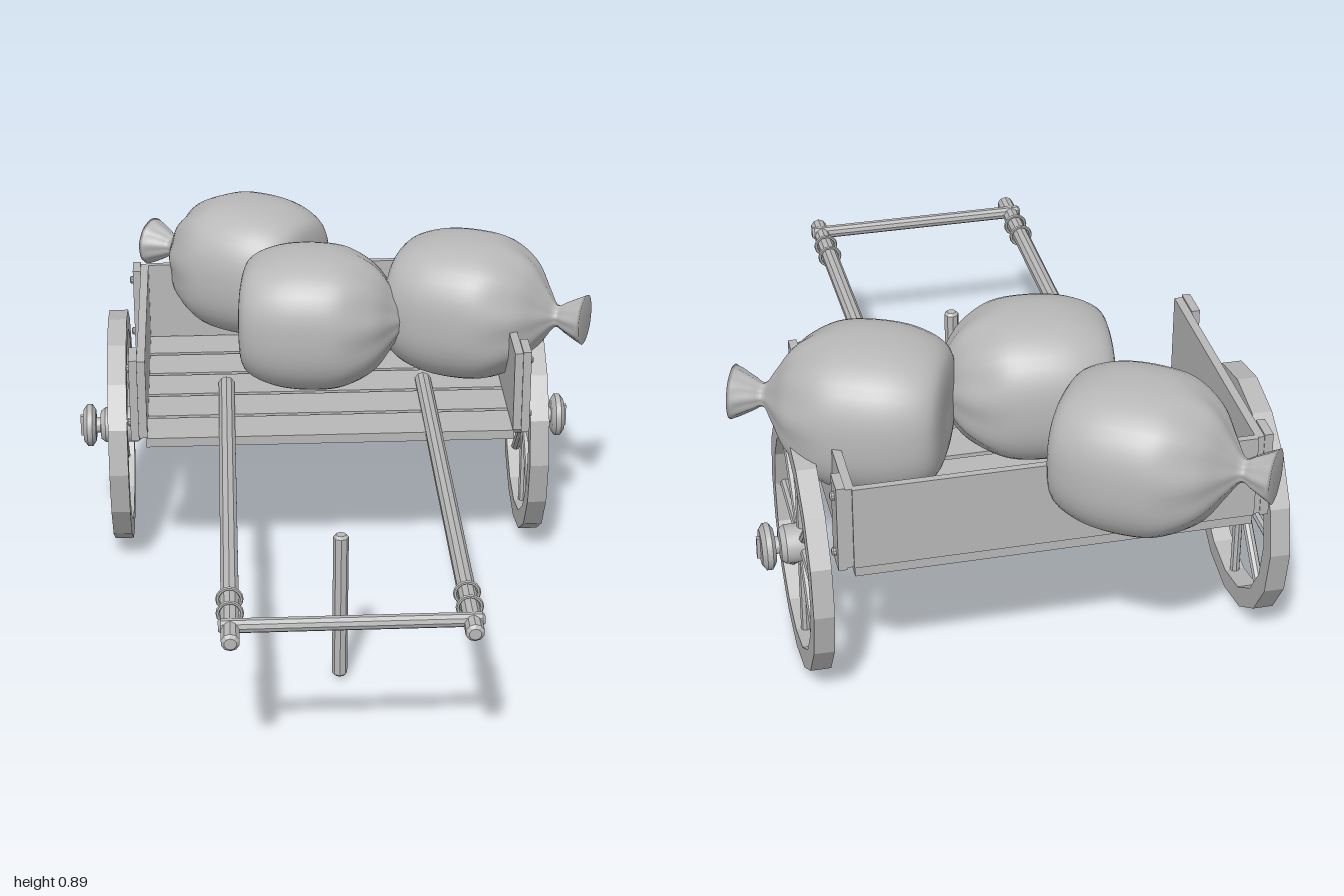
import * as THREE from 'three';
import { mergeVertices, toCreasedNormals } from 'three/addons/utils/BufferGeometryUtils.js';

const grey = new THREE.MeshStandardMaterial({ color: 0xb8b8b8 });
grey.name = 'plain grey';

const v2 = (pairs) => pairs.map(([x, y]) => new THREE.Vector2(x, y));

// Adds a named mesh, keeping hard edges sharp
function add(parent, name, geometry, x = 0, y = 0, z = 0) {
  const mesh = new THREE.Mesh(toCreasedNormals(geometry, 0.3), grey);
  mesh.name = name;
  mesh.position.set(x, y, z);
  parent.add(mesh);
  return mesh;
}

// Round bar between two points
function rod(parent, name, a, b, r, sides = 8) {
  const from = new THREE.Vector3(...a), to = new THREE.Vector3(...b);
  const dir = to.clone().sub(from), len = dir.length(), c = r * 0.35;
  const profile = v2([[0, 0], [r * 0.65, 0], [r, c], [r, len - c], [r * 0.65, len], [0, len]]);
  const mesh = add(parent, name, new THREE.LatheGeometry(profile, sides), ...a);
  mesh.quaternion.setFromUnitVectors(new THREE.Vector3(0, 1, 0), dir.normalize());
}

// Wheel with its axis along +x pointing outward
function makeWheel() {
  const wheel = new THREE.Group();
  const turn = (name, pairs, sides) =>
    add(wheel, name, new THREE.LatheGeometry(v2(pairs), sides).rotateZ(-Math.PI / 2));
  const w = 0.026;
  turn('rim', [[0.272, -w], [0.325, -w], [0.325, w], [0.272, w], [0.272, -w]], 16);
  turn('hub', [[0, -0.058], [0.04, -0.058], [0.05, -0.045], [0.05, 0.045], [0.04, 0.058], [0.022, 0.06], [0.022, 0.075]], 24);
  turn('hubCap', [[0, 0.07], [0.045, 0.072], [0.06, 0.082], [0.06, 0.096], [0.045, 0.107], [0, 0.107]], 24);
  add(wheel, 'linchpin', new THREE.BoxGeometry(0.012, 0.06, 0.012), 0.11, 0, 0);
  for (let i = 0; i < 8; i++) {
    const a = (i * Math.PI) / 4, c = Math.cos(a), s = Math.sin(a);
    rod(wheel, 'spoke', [0, 0.03 * c, 0.03 * s], [0, 0.285 * c, 0.285 * s], 0.013, 8);
  }
  return wheel;
}

// Tied sack lying on its side, neck along +x
function makeSack() {
  const outline = new THREE.SplineCurve(v2([[0, -0.2], [0.1, -0.203], [0.16, -0.18], [0.195, -0.1],
    [0.203, 0], [0.19, 0.09], [0.14, 0.17], [0.07, 0.22], [0.03, 0.25], [0.042, 0.28], [0.068, 0.33]]));
  const profile = [...outline.getPoints(44), new THREE.Vector2(0, 0.325)];
  profile[0].x = 0;
  let geo = new THREE.LatheGeometry(profile, 48).rotateZ(-Math.PI / 2);
  const p = geo.attributes.position;
  for (let i = 0; i < p.count; i++) {
    const x = p.getX(i), y = p.getY(i), z = p.getZ(i);
    const a = Math.atan2(z, y), c = Math.abs(Math.cos(a)), s = Math.abs(Math.sin(a));
    // Boxy belly, pleats gathering at the neck
    const belly = THREE.MathUtils.smoothstep(0.22 - x, 0, 0.15);
    const boxy = 1 / Math.pow(c ** 2.5 + s ** 2.5, 0.4);
    const pleat = THREE.MathUtils.smoothstep(x, 0.04, 0.22) * (x < 0.31 ? 0.04 : 0.01);
    const k = (1 + (boxy - 1) * belly) * (1 + pleat * Math.cos(a * 9));
    p.setXYZ(i, x, y * k * (1 - 0.05 * belly), z * k);
  }
  geo.deleteAttribute('uv');
  geo.deleteAttribute('normal');
  geo = mergeVertices(geo, 1e-5);
  geo.computeVertexNormals();
  return geo;
}

export function createModel() {
  const model = new THREE.Group();
  model.name = 'handcart';
  const cart = new THREE.Group();
  cart.name = 'cart';
  cart.position.x = -0.018;
  model.add(cart);

  // Floor planks laid across the bed
  for (let i = 0; i < 5; i++) {
    add(cart, 'floorPlank', new THREE.BoxGeometry(0.995, 0.026, 0.126), 0, 0.45, -0.705 + i * 0.1405);
  }

  // Back and side walls
  add(cart, 'backWall', new THREE.BoxGeometry(1.0, 0.225, 0.018), 0, 0.578, -0.765);
  for (const side of [-1, 1]) {
    add(cart, 'sideWall', new THREE.BoxGeometry(0.022, 0.225, 0.69), side * 0.505, 0.578, -0.423);
    for (const z of [-0.118, -0.735]) {
      add(cart, 'cornerPost', new THREE.BoxGeometry(0.022, 0.235, z > -0.5 ? 0.09 : 0.07), side * 0.527, 0.578, z);
      for (const y of [0.495, 0.655]) {
        rod(cart, 'bolt', [side * 0.53, y, z], [side * 0.548, y, z], 0.011, 10);
      }
    }

    // Shafts with binding rings
    const x = side * 0.282;
    rod(cart, 'shaft', [x - side * 0.005, 0.462, -0.43], [x + side * 0.005, 0.448, side < 0 ? 0.99 : 0.975], 0.023, 10);
    for (const z of [0.778, 0.846]) {
      add(cart, 'bindingRing', new THREE.TorusGeometry(0.029, 0.005, 6, 16), x + side * 0.004, 0.449, z);
    }

    // Wheels
    const wheel = makeWheel();
    wheel.name = side < 0 ? 'rightWheel' : 'leftWheel';
    wheel.position.set(side * 0.577, 0.33, -0.45);
    if (side < 0) wheel.rotation.y = Math.PI;
    cart.add(wheel);
  }

  // Handle bar and prop stick
  rod(cart, 'handleBar', [-0.315, 0.455, 0.916], [0.315, 0.455, 0.916], 0.018, 10);
  rod(cart, 'propStick', [-0.003, 0.015, 0.425], [0.001, 0.427, 0.425], 0.02, 8);

  // Load of sacks: position, heading and scale
  const sackGeometry = makeSack();
  const sacks = [
    ['middleSack', -0.047, 0.688, -0.37, -0.12, 1.0],
    ['leftSack', 0.382, 0.695, -0.417, -0.4, 1.02],
    ['backSack', -0.228, 0.693, -0.762, Math.PI - 0.58, 1.0],
  ];
  for (const [name, x, y, z, heading, scale] of sacks) {
    const sack = new THREE.Mesh(sackGeometry, grey);
    sack.name = name;
    sack.position.set(x, y, z);
    sack.rotation.y = heading;
    sack.scale.setScalar(scale);
    model.add(sack);
  }
  return model;
}
